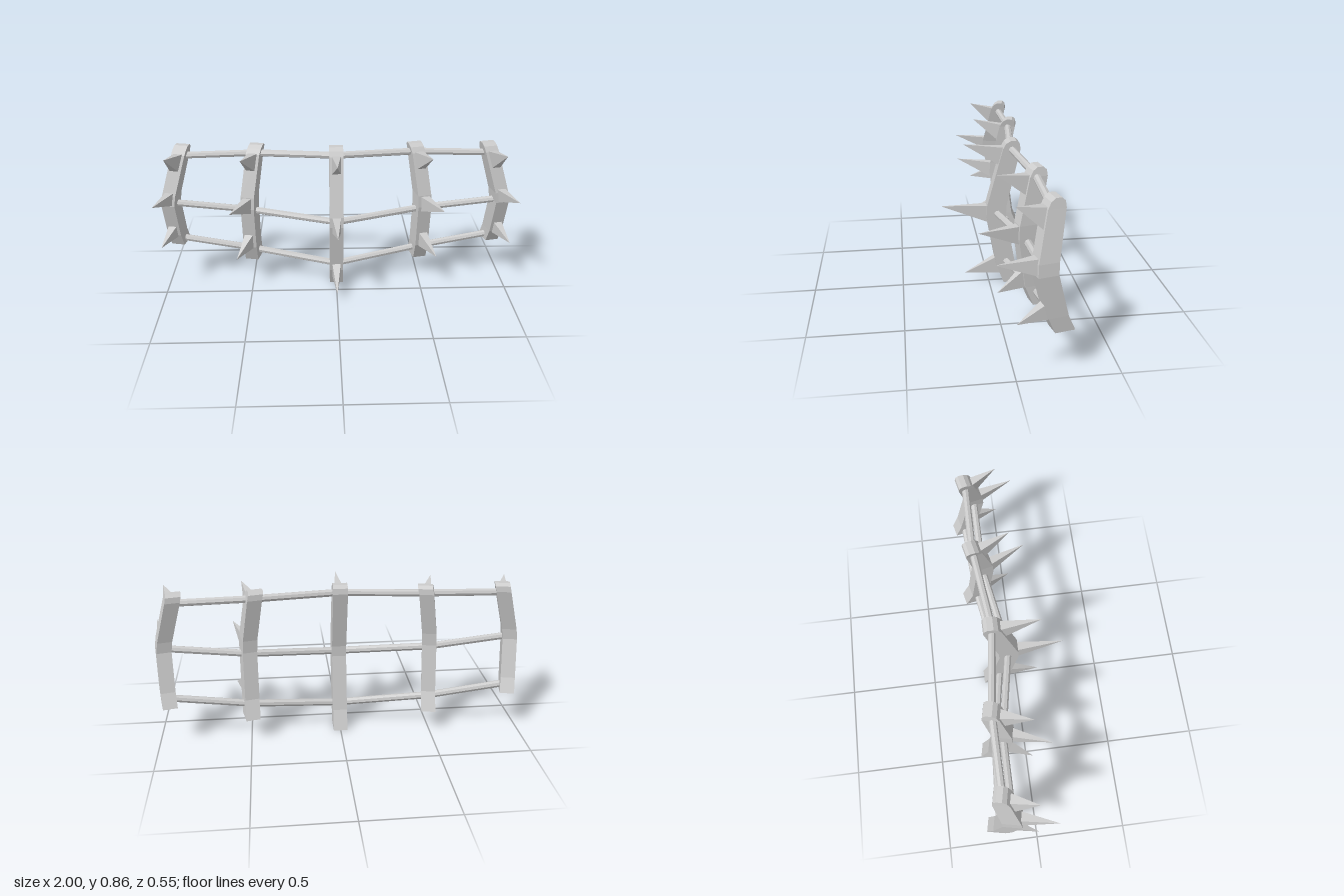
import * as THREE from 'three';
import { ConvexGeometry } from 'three/addons/geometries/ConvexGeometry.js';

const material = new THREE.MeshStandardMaterial({ color: 0xcccccc, flatShading: true });
const HALF = 0.039; // half width of a post
const LEVELS = ['lower', 'middle', 'upper'];
const V = (x, y, z) => new THREE.Vector3(x, y, z);

// path: middle of the post from foot to shoulder; tips: spike points; rails: heights
const centrePost = {
  name: 'centrePost', yaw: 0, depth: 0.11, spikeBase: 0.105,
  path: [V(0, 0, -0.138), V(0, 0.11, -0.096), V(0, 0.42, -0.039), V(0, 0.48, -0.041), V(0, 0.81, -0.122)],
  tips: [V(0, 0.057, 0.14), V(0, 0.48, 0.27), V(0, 0.835, 0.14)],
  rails: [0.13, 0.43, 0.805],
};
const innerPost = {
  name: 'innerPost', yaw: 0.21, depth: 0.102, spikeBase: 0.1,
  path: [V(0.495, 0.13, -0.204), V(0.497, 0.235, -0.161), V(0.497, 0.5, -0.125), V(0.493, 0.57, -0.128), V(0.456, 0.81, -0.175)],
  tips: [V(0.575, 0.23, 0.03), V(0.585, 0.565, 0.125), V(0.52, 0.835, 0.03)],
  rails: [0.195, 0.475, 0.805],
};
const outerPost = {
  name: 'outerPost', yaw: 0.21, depth: 0.097, spikeBase: 0.08,
  path: [V(0.93, 0.23, -0.219), V(0.938, 0.31, -0.184), V(0.945, 0.52, -0.131), V(0.936, 0.58, -0.133), V(0.87, 0.81, -0.174)],
  tips: [V(1, 0.3, 0.005), V(1, 0.6, 0.1), V(0.93, 0.835, 0.005)],
  rails: [0.265, 0.525, 0.795],
};
const posts = [centrePost, innerPost, outerPost];

// Middle of a post at a given height
function middleAt({ path }, y) {
  let i = 0;
  while (i < path.length - 2 && path[i + 1].y < y) i++;
  return path[i].clone().lerp(path[i + 1], (y - path[i].y) / (path[i + 1].y - path[i].y));
}

// Point on a post: u across its width, w forward from its middle
function postPoint(middle, side, yaw, u, w) {
  const t = side * yaw;
  return V(side * middle.x + u * Math.cos(t) + w * Math.tan(t), middle.y, middle.z + w - u * Math.sin(t));
}

// Four-cornered rings, narrowing to a bevelled head, joined into a closed post
function postGeometry({ path, yaw, depth }, side) {
  const shoulder = path[path.length - 1];
  const rings = path.map((middle) => ({ middle, half: depth / 2 }));
  rings[path.length - 1].half *= 0.88;
  for (const [rise, scale] of [[0.03, 0.68], [0.045, 0.3]]) {
    const middle = shoulder.clone().add(V(-rise * 0.27, rise, -rise * 0.2));
    if (shoulder.x === 0) middle.x = 0;
    rings.push({ middle, half: depth / 2 * scale });
  }
  const points = rings.flatMap(({ middle, half }) =>
    [[-1, 1], [1, 1], [1, -1], [-1, -1]].map(([u, w]) => postPoint(middle, side, yaw, u * HALF, w * half)));
  const index = [0, 2, 1, 0, 3, 2];
  for (let r = 0; r < rings.length - 1; r++) {
    for (let i = 0; i < 4; i++) {
      const a = r * 4 + i, b = r * 4 + (i + 1) % 4;
      index.push(a, b, b + 4, a, b + 4, a + 4);
    }
  }
  const top = points.length - 4;
  index.push(top, top + 1, top + 2, top, top + 2, top + 3);
  const flat = new THREE.BufferGeometry().setFromPoints(points).setIndex(index).toNonIndexed();
  flat.computeVertexNormals();
  return flat;
}

// Pyramid rooted slightly inside the front of a post
function spikeGeometry(post, side, level) {
  const tip = post.tips[level];
  // The lower spike slopes down, the middle one up, the upper one rises past its base
  const low = tip.y - [0, post.spikeBase, 0.12][level];
  const high = tip.y + [post.spikeBase, 0, -0.02][level];
  const points = [V(side * tip.x, tip.y, tip.z)];
  for (const y of [low, high]) {
    for (const u of [-0.026, 0.026]) {
      points.push(postPoint(middleAt(post, y), side, post.yaw, u, post.depth * 0.36));
    }
  }
  return new ConvexGeometry(points);
}

// Straight bar between two neighbouring posts
function railGeometry(from, to, side, level) {
  const [a, b] = [from, to].map((post) => middleAt(post, post.rails[level]).multiply(V(side, 1, 1)));
  const dir = b.clone().sub(a);
  const mid = a.clone().add(b).multiplyScalar(0.5);
  return new THREE.CylinderGeometry(0.02, 0.02, dir.length(), 8)
    .applyQuaternion(new THREE.Quaternion().setFromUnitVectors(V(0, 1, 0), dir.normalize()))
    .translate(mid.x, mid.y, mid.z);
}

export function createModel() {
  const model = new THREE.Group();
  model.name = 'spikedBarricade';
  const add = (geometry, name) => {
    const mesh = new THREE.Mesh(geometry, material);
    mesh.name = name;
    model.add(mesh);
  };

  posts.forEach((post, i) => {
    for (const side of i === 0 ? [1] : [1, -1]) {
      const label = i === 0 ? '' : side > 0 ? 'Left' : 'Right';
      add(postGeometry(post, side), post.name + label);
      LEVELS.forEach((name, level) => {
        add(spikeGeometry(post, side, level), `${post.name}${label}-${name}Spike`);
        if (i > 0) add(railGeometry(posts[i - 1], post, side, level), `${post.name}${label}-${name}Rail`);
      });
    }
  });
  return model;
}
